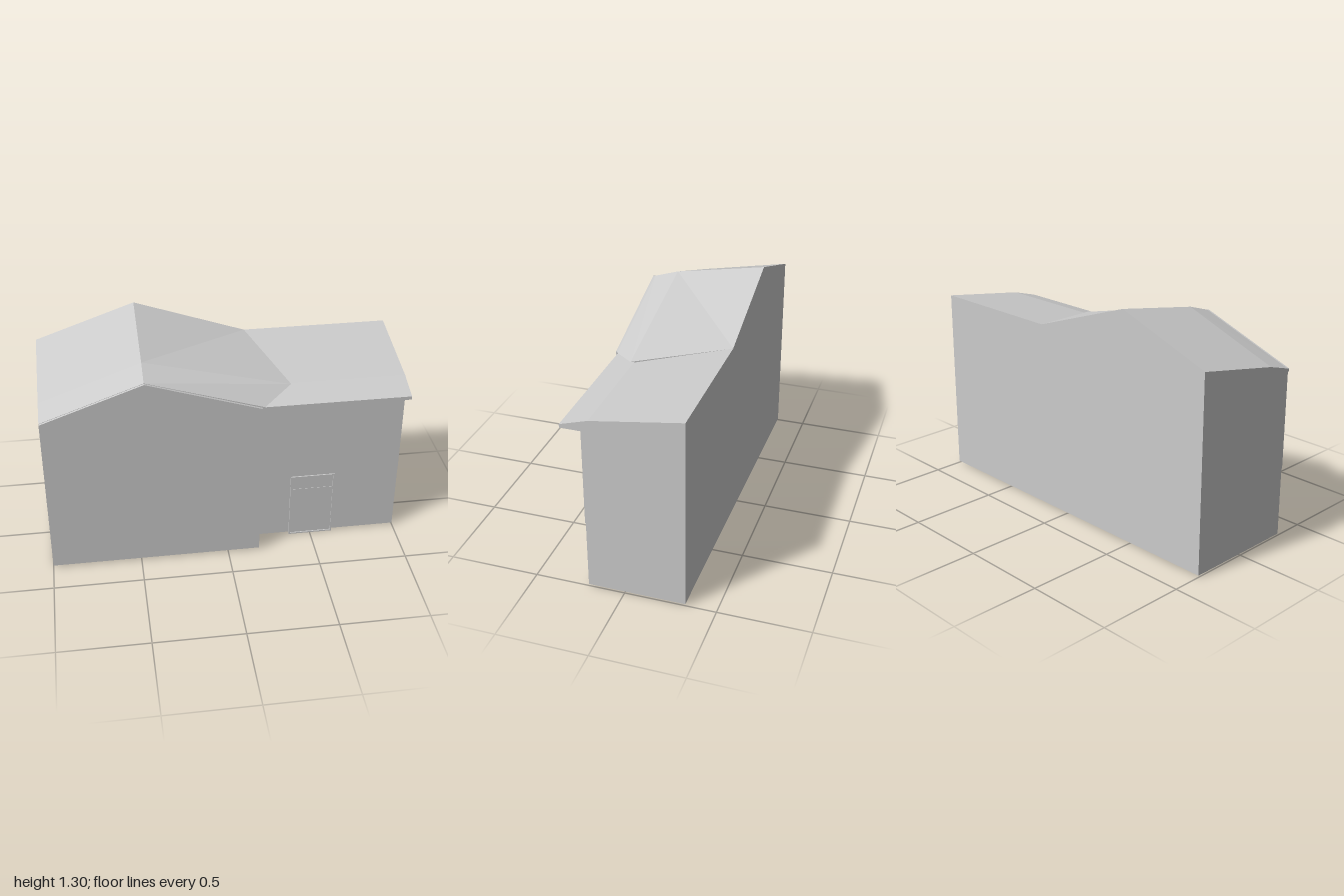
import * as THREE from 'three';

const material = new THREE.MeshStandardMaterial({ color: 0xcccccc, flatShading: true });

function add(group, name, geometry, x = 0, y = 0, z = 0) {
  const mesh = new THREE.Mesh(geometry, material);
  mesh.name = name;
  mesh.position.set(x, y, z);
  group.add(mesh);
  return mesh;
}

function box(group, name, x0, x1, y0, y1, z0, z1) {
  return add(group, name, new THREE.BoxGeometry(x1 - x0, y1 - y0, z1 - z0),
    (x0 + x1) / 2, (y0 + y1) / 2, (z0 + z1) / 2);
}

function extrude(points, depth) {
  const shape = new THREE.Shape(points.map(([x, y]) => new THREE.Vector2(x, y)));
  return new THREE.ExtrudeGeometry(shape, { depth, bevelEnabled: false });
}

// Joins equal-length counterclockwise sections, given from back to front, and caps both ends
function loft(sections) {
  const n = sections[0].points.length;
  const positions = sections.flatMap(s => s.points.flatMap(([x, y]) => [x, y, s.z]));
  const index = [];
  for (let k = 0; k < sections.length - 1; k++) {
    for (let i = 0; i < n; i++) {
      const a = k * n + i, b = k * n + (i + 1) % n;
      index.push(a, b, b + n, a, b + n, a + n);
    }
  }
  const cap = s => THREE.ShapeUtils.triangulateShape(s.points.map(p => new THREE.Vector2(...p)), []);
  const last = (sections.length - 1) * n;
  cap(sections[0]).forEach(([a, b, c]) => index.push(a, c, b));
  cap(sections[sections.length - 1]).forEach(([a, b, c]) => index.push(last + a, last + b, last + c));
  const geometry = new THREE.BufferGeometry();
  geometry.setAttribute('position', new THREE.Float32BufferAttribute(positions, 3));
  geometry.setIndex(index);
  const flat = geometry.toNonIndexed();
  flat.computeVertexNormals();
  return flat;
}

export function createModel() {
  const model = new THREE.Group();
  model.name = 'house';
  const split = 0.18, ridgeX = -0.445, base = 0.01;

  // Gabled wing: the roof sinks to the front and spreads over the lower wing along the valley
  const section = (z, eaveY, ridgeY, valleyX, valleyY) => ({
    z,
    points: [[-1, base], [split, base], [split, 0.94], [valleyX, valleyY], [ridgeX, ridgeY], [-1, eaveY]],
  });
  add(model, 'gabledWing', loft([
    section(-0.333, 1.11, 1.305, split, 1.087),
    section(0.18, 1.01, 1.213, 0.36, 1.015),
    section(0.32, 0.968, 1.168, 0.195, 0.968),
  ]));

  // Fascia along the front gable
  add(model, 'gableFascia', extrude([
    [-1, 0.947], [ridgeX, 1.147], [split, 0.947],
    [split, 0.966], [ridgeX, 1.166], [-1, 0.966],
  ], 0.018), 0, 0, 0.315);

  // Lower wing: side profile with boxed eave, written as (-z, y) and extruded along x
  const lowWing = extrude([
    [-0.2, base], [0.333, base], [0.333, 1.087], [-0.165, 1.01],
    [-0.317, 0.965], [-0.317, 0.945], [-0.2, 0.945],
  ], 1 - split);
  lowWing.rotateY(Math.PI / 2);
  add(model, 'lowWing', lowWing, split, 0, 0);

  // Thin cladding on the upper front walls
  add(model, 'gableCladding', extrude([
    [-1, 0.4], [split, 0.4], [split, 0.95], [ridgeX, 1.15], [-1, 0.95],
  ], 0.006), 0, 0, 0.32);
  box(model, 'lowWingCladding', split, 1, 0.4, 0.945, 0.2, 0.204);

  // Door with transom panel and slim frame
  const door = new THREE.Group();
  door.name = 'door';
  model.add(door);
  box(door, 'doorLeaf', 0.38, 0.625, 0.005, 0.32, 0.195, 0.205);
  box(door, 'transomPanel', 0.38, 0.625, 0.32, 0.405, 0.195, 0.203);
  for (const x of [0.375, 0.622]) box(door, 'doorJamb', x, x + 0.008, 0, 0.41, 0.195, 0.211);
  for (const y of [0, 0.402]) box(door, 'doorRail', 0.375, 0.63, y, y + 0.008, 0.195, 0.211);

  return model;
}
